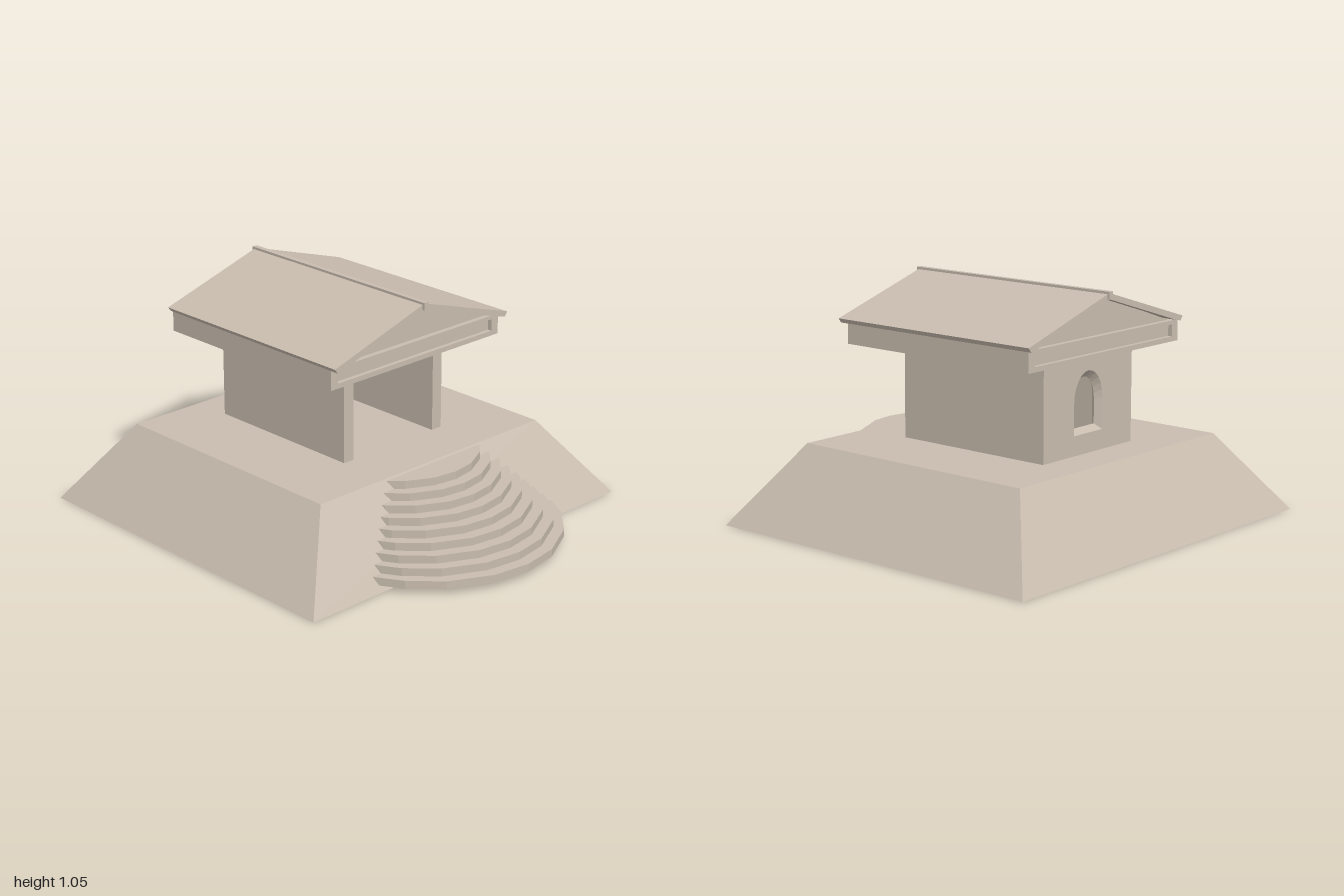
import * as THREE from 'three';

const stone = new THREE.MeshStandardMaterial({ color: 0xc8bcae, flatShading: true });
stone.name = 'pale stone';
const stoneOpen = new THREE.MeshStandardMaterial({ color: 0xc8bcae, flatShading: true, side: THREE.DoubleSide });
stoneOpen.name = 'pale stone two sided';

function add(parent, name, geometry, material = stone) {
  const mesh = new THREE.Mesh(geometry, material);
  mesh.name = name;
  parent.add(mesh);
  return mesh;
}

// box given by its limits
function box(x0, x1, y0, y1, z0, z1) {
  return new THREE.BoxGeometry(x1 - x0, y1 - y0, z1 - z0)
    .translate((x0 + x1) / 2, (y0 + y1) / 2, (z0 + z1) / 2);
}

const toShape = pts => new THREE.Shape(pts.map(p => new THREE.Vector2(p[0], p[1])));

// front-facing outline with optional hole, running from z0 to z1
function slab(pts, z0, z1, hole) {
  const shape = toShape(pts);
  if (hole) shape.holes.push(new THREE.Path(hole.map(p => new THREE.Vector2(p[0], p[1]))));
  return new THREE.ExtrudeGeometry(shape, { depth: z1 - z0, bevelEnabled: false }).translate(0, 0, z0);
}

const rect = (x, y0, y1) => [[-x, y0], [x, y0], [x, y1], [-x, y1]];

// arched window outline, counter-clockwise from the lower left
function arch(halfWidth, bottom, spring, top) {
  const pts = [[-halfWidth, bottom], [halfWidth, bottom]];
  for (let i = 0; i <= 12; i++) {
    const a = Math.PI * i / 12;
    pts.push([halfWidth * Math.cos(a), spring + (top - spring) * Math.sin(a)]);
  }
  return pts;
}

// surface joining closed loops of equal length
function loft(loops) {
  const pos = [], idx = [], n = loops[0].length;
  loops.forEach(l => l.forEach(p => pos.push(...p)));
  for (let k = 0; k < loops.length - 1; k++) {
    for (let i = 0; i < n; i++) {
      const a = k * n + i, b = k * n + (i + 1) % n;
      idx.push(a, b, a + n, b, b + n, a + n);
    }
  }
  const g = new THREE.BufferGeometry();
  g.setAttribute('position', new THREE.Float32BufferAttribute(pos, 3));
  g.setIndex(idx);
  const flat = g.toNonIndexed();
  flat.computeVertexNormals();
  return flat;
}

function buildMound() {
  // box with its upper corners pulled inwards
  const g = new THREE.BoxGeometry(1.84, 0.355, 1.68);
  const p = g.attributes.position;
  for (let i = 0; i < p.count; i++) {
    if (p.getY(i) > 0) p.setXYZ(i, Math.sign(p.getX(i)) * 0.655, p.getY(i), Math.sign(p.getZ(i)) * 0.6);
  }
  g.computeVertexNormals();
  return g.translate(0, 0.1775, -0.16);
}

function buildStairs() {
  const stairs = new THREE.Group();
  stairs.name = 'stairs';
  const half = [17, 37, 53.5, 66, 80];
  const angles = [...half.map(a => -a).reverse(), 0, ...half];
  const rise = 0.0357;
  for (let i = 0; i < 9; i++) {
    const r = 0.6 - 0.0273 * i, cz = 0.4 - 0.0255 * i, y = 0.026 + rise * i;
    const pts = angles.map(a => {
      const t = THREE.MathUtils.degToRad(a);
      return [r * Math.sin(t), -(cz + r * Math.cos(t))];
    });
    const g = new THREE.ExtrudeGeometry(toShape(pts), { depth: rise, bevelEnabled: false });
    add(stairs, 'step' + (i + 1), g.rotateX(-Math.PI / 2).translate(0, y, 0));
  }
  return stairs;
}

function buildChamber() {
  const chamber = new THREE.Group();
  chamber.name = 'chamber';
  const y0 = 0.355, y1 = 0.76, zBack = -0.58, zInner = -0.525;
  add(chamber, 'leftWall', box(0.24, 0.295, y0, y1, zBack, 0.2));
  add(chamber, 'rightWall', box(-0.295, -0.24, y0, y1, zBack, 0.2));
  const outer = arch(0.095, 0.442, 0.58, 0.71);
  const inner = arch(0.072, 0.466, 0.57, 0.68);
  add(chamber, 'backWall', slab(rect(0.24, y0, y1), zBack, zInner, outer));
  // splayed window lining, narrowest in the middle of the wall
  const at = (pts, z) => pts.map(p => [p[0], p[1], z]);
  add(chamber, 'windowLining',
    loft([at(outer, zBack), at(inner, (zBack + zInner) / 2), at(outer, zInner)]), stoneOpen);
  return chamber;
}

function buildRoof() {
  const roof = new THREE.Group();
  roof.name = 'roof';
  const zF = 0.34, zB = -0.67, y0 = 0.78, y1 = 0.872;

  // beam ring with sunken panels at both ends
  for (const s of [1, -1]) {
    const side = s > 0 ? 'left' : 'right';
    add(roof, side + 'Beam', box(s > 0 ? 0.44 : -0.5, s > 0 ? 0.5 : -0.44, y0, y1, zB + 0.02, zF - 0.02));
  }
  const panel = rect(0.46, 0.802, 0.855);
  add(roof, 'frontBeamFrame', slab(rect(0.5, y0, y1), zF - 0.02, zF, panel));
  add(roof, 'backBeamFrame', slab(rect(0.5, y0, y1), zB, zB + 0.02, panel));
  add(roof, 'frontBeam', box(-0.47, 0.47, y0, y1, zF - 0.06, zF - 0.02));
  add(roof, 'backBeam', box(-0.47, 0.47, y0, y1, zB + 0.02, zB + 0.06));

  // attic with recessed gable ends
  add(roof, 'attic', slab([[-0.48, 0.866], [0.48, 0.866], [0, 1.03]], zB + 0.025, zF - 0.025));

  // sloping roof slabs
  const slope = [[0, 1.022], [0.465, 0.876], [0.5, 0.868], [0.515, 0.888], [0, 1.048]];
  add(roof, 'leftSlope', slab(slope, -0.685, 0.38));
  add(roof, 'rightSlope', slab(slope.map(p => [-p[0], p[1]]).reverse(), -0.685, 0.38));
  add(roof, 'ridge', box(-0.012, 0.012, 1.022, 1.055, -0.695, 0.39));
  return roof;
}

export function createModel() {
  const model = new THREE.Group();
  model.name = 'hillShrine';
  add(model, 'mound', buildMound());
  model.add(buildStairs(), buildChamber(), buildRoof());
  return model;
}
